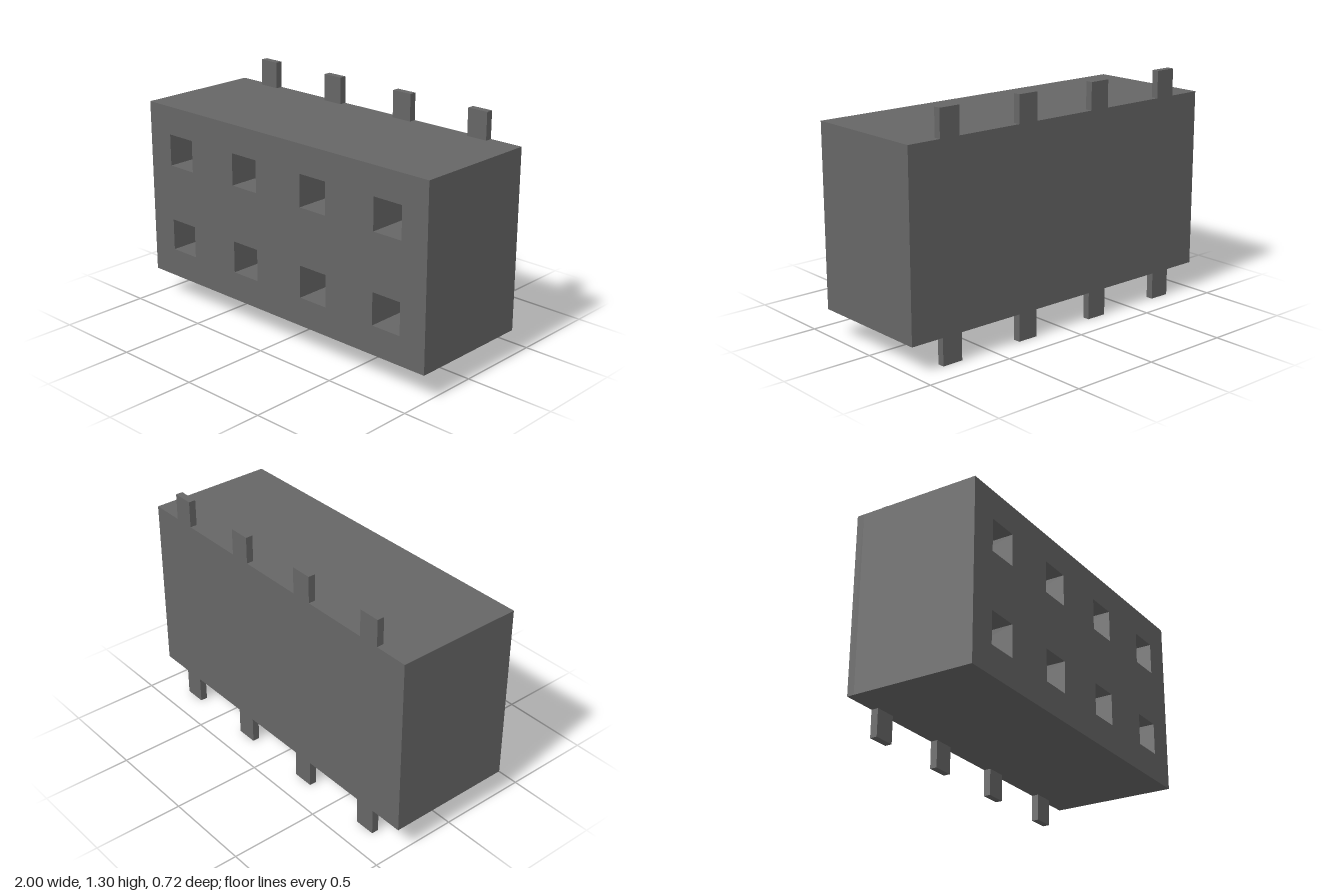
import * as THREE from 'three';

const COLUMNS = [-0.75, -0.25, 0.25, 0.75];
const ROWS = [0.4, 0.9];
const BOTTOM = 0.15, TOP = 1.15, HEIGHT = 1.3;
const BACK = -0.36, FRONT = 0.36, PLATE = 0.04;

// Square-cornered outline, counter-clockwise
function rectangle(PathType, x0, y0, x1, y1) {
  return new PathType([[x0, y0], [x1, y0], [x1, y1], [x0, y1]].map(([x, y]) => new THREE.Vector2(x, y)));
}

function extrude(name, shape, z, depth, material) {
  const geometry = new THREE.ExtrudeGeometry(shape, { depth, bevelEnabled: false });
  geometry.translate(0, 0, z);
  const mesh = new THREE.Mesh(geometry, material);
  mesh.name = name;
  return mesh;
}

export function createModel() {
  const group = new THREE.Group();
  group.name = 'pinSocket';
  const plastic = new THREE.MeshStandardMaterial({ color: 0x666666 });
  plastic.name = 'dark grey';

  // Housing with two rows of square sockets
  const housing = rectangle(THREE.Shape, -1, BOTTOM, 1, TOP);
  for (const x of COLUMNS) {
    for (const y of ROWS) {
      housing.holes.push(rectangle(THREE.Path, x - 0.09, y - 0.09, x + 0.09, y + 0.09));
    }
  }
  group.add(extrude('housing', housing, BACK + PLATE, FRONT - BACK - PLATE, plastic));

  // Back plate closing the sockets, with flat pins continuing above and below it
  const half = 0.06;
  const points = [[-1, BOTTOM]];
  for (const x of COLUMNS) {
    points.push([x - half, BOTTOM], [x - half, 0], [x + half, 0], [x + half, BOTTOM]);
  }
  points.push([1, BOTTOM], [1, TOP]);
  for (const x of [...COLUMNS].reverse()) {
    points.push([x + half, TOP], [x + half, HEIGHT], [x - half, HEIGHT], [x - half, TOP]);
  }
  points.push([-1, TOP]);
  const plate = new THREE.Shape(points.map(([x, y]) => new THREE.Vector2(x, y)));
  group.add(extrude('backPlateWithPins', plate, BACK, PLATE, plastic));

  return group;
}
